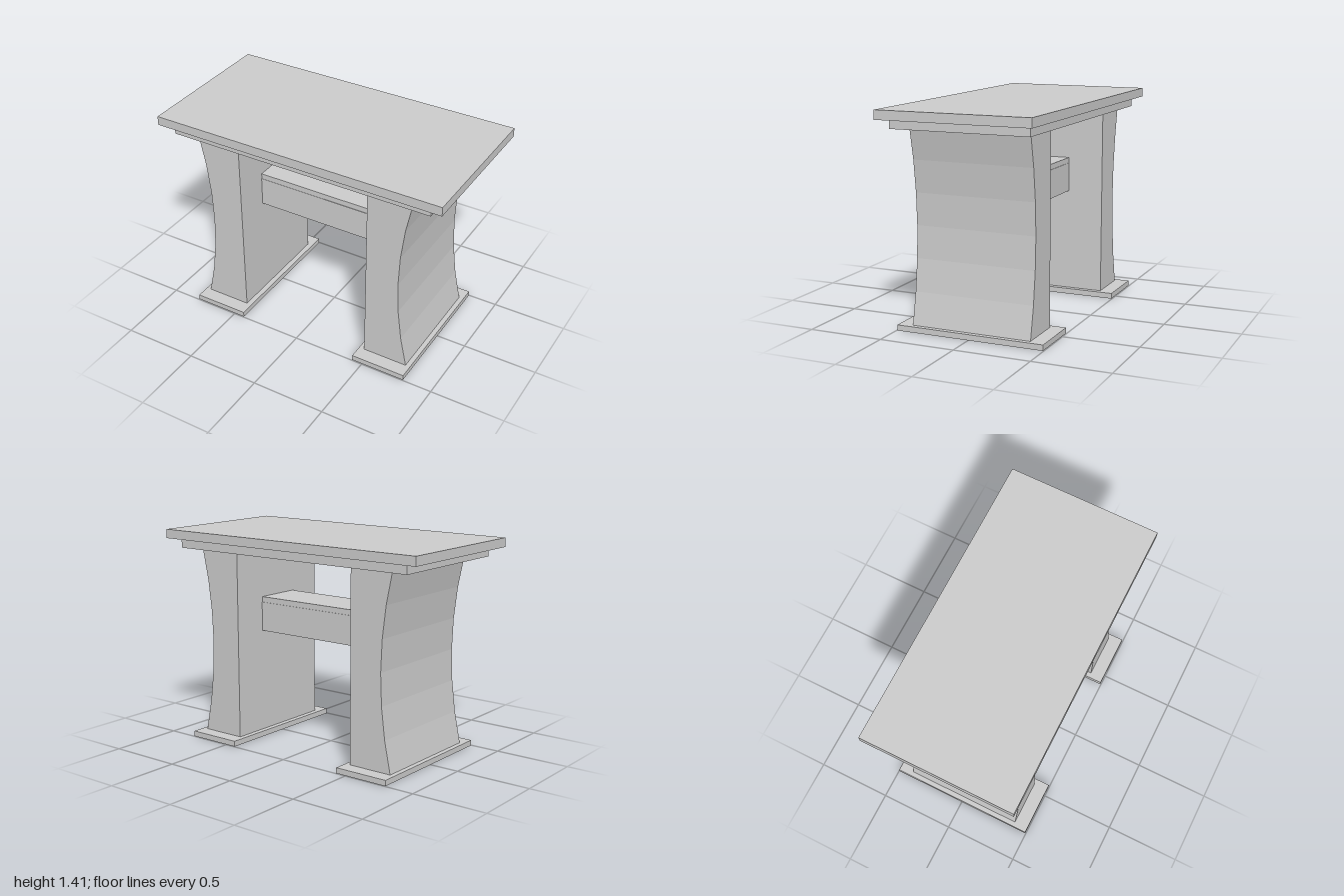
import * as THREE from 'three';

const material = new THREE.MeshStandardMaterial({ color: 0xcccccc, flatShading: true });

// Box given by its x and y ranges and half depth
function slab(name, x0, x1, y0, y1, halfDepth) {
  const mesh = new THREE.Mesh(new THREE.BoxGeometry(x1 - x0, y1 - y0, halfDepth * 2), material);
  mesh.position.set((x0 + x1) / 2, (y0 + y1) / 2, 0);
  mesh.name = name;
  return mesh;
}

// Panel leg with a flat inner face and a concave outer face
function panelLeg(side) {
  const bottom = 0.037, top = 1.29, inner = 0.463, outer = 0.768, waist = 0.69;
  const shape = new THREE.Shape();
  shape.moveTo(side * inner, bottom);
  shape.lineTo(side * outer, bottom);
  shape.quadraticCurveTo(side * (2 * waist - outer), (bottom + top) / 2, side * outer, top);
  shape.lineTo(side * inner, top);
  shape.closePath();
  const geometry = new THREE.ExtrudeGeometry(shape, { depth: 0.802, bevelEnabled: false, curveSegments: 6 });
  geometry.translate(0, 0, -0.401);
  const mesh = new THREE.Mesh(geometry, material);
  mesh.name = side > 0 ? 'leftLeg' : 'rightLeg';
  return mesh;
}

export function createModel() {
  const table = new THREE.Group();
  table.name = 'table';

  // Stepped top
  table.add(slab('tableTop', -1, 1, 1.35, 1.41, 0.507));
  table.add(slab('topSupport', -0.908, 0.908, 1.288, 1.35, 0.458));

  // Legs and foot plates
  for (const side of [-1, 1]) {
    const foot = slab(side > 0 ? 'leftFoot' : 'rightFoot', 0.427, 0.8, 0, 0.037, 0.495);
    foot.position.x *= side;
    table.add(panelLeg(side), foot);
  }

  // Stretcher beam with its cap board
  table.add(slab('stretcher', -0.463, 0.463, 0.73, 0.925, 0.16));
  table.add(slab('stretcherCap', -0.463, 0.463, 0.925, 0.962, 0.157));

  return table;
}
